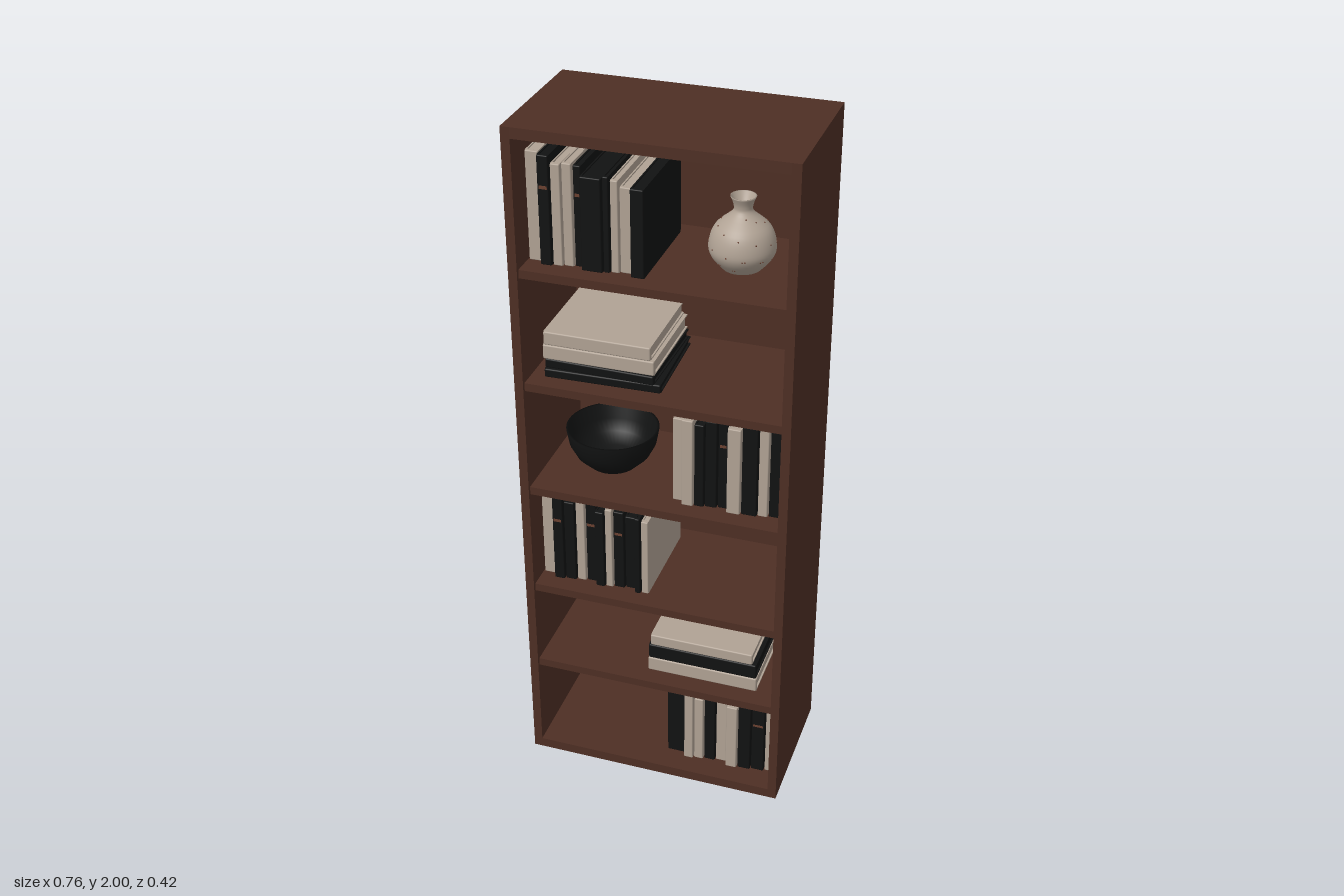
import * as THREE from 'three';
import { RoundedBoxGeometry } from 'three/addons/geometries/RoundedBoxGeometry.js';

const mat = (name, color) => {
  const m = new THREE.MeshStandardMaterial({ color });
  m.name = name;
  return m;
};

export function createModel() {
  const wood = mat('walnut', 0x4e2f24);
  const cream = mat('cream', 0xb0a294);
  const black = mat('black', 0x111212);
  const brown = mat('brown accent', 0x6a4030);
  const root = new THREE.Group();
  root.name = 'bookcase';

  const add = (parent, name, geometry, material, x = 0, y = 0, z = 0) => {
    const mesh = new THREE.Mesh(geometry, material);
    mesh.name = name;
    mesh.position.set(x, y, z);
    parent.add(mesh);
    return mesh;
  };
  // Box given by its extents on each axis
  const slab = (parent, name, material, [x0, x1], [y0, y1], [z0, z1]) =>
    add(parent, name, new THREE.BoxGeometry(x1 - x0, y1 - y0, z1 - z0), material,
      (x0 + x1) / 2, (y0 + y1) / 2, (z0 + z1) / 2);
  const group = (parent, name) => {
    const g = new THREE.Group();
    g.name = name;
    parent.add(g);
    return g;
  };

  // Carcass: sides, top, base, back and five shelves
  const L = -0.384, R = 0.379, T = 0.025;
  const inner = [L + T, R - T], depth = [-0.21, 0.21];
  const floors = [0.03, 0.335, 0.61, 0.943, 1.275, 1.61];
  const carcass = group(root, 'carcass');
  slab(carcass, 'rightSide', wood, [L, L + T], [0, 2], depth);
  slab(carcass, 'leftSide', wood, [R - T, R], [0, 2], depth);
  slab(carcass, 'topBoard', wood, inner, [1.97, 2], depth);
  slab(carcass, 'baseBoard', wood, inner, [0, 0.03], depth);
  slab(carcass, 'backPanel', wood, inner, [0.03, 1.97], [-0.21, -0.195]);
  floors.slice(1).forEach((y) => slab(carcass, 'shelf', wood, inner, [y - 0.024, y], [-0.195, 0.2]));

  // Upright book: two boards, a rounded spine facing front, and a page block
  const uprightBook = (parent, x0, w, floor, h, material, front, banded) => {
    const book = group(parent, 'uprightBook');
    const t = 0.004, x1 = x0 + w, top = floor + h, cy = floor + h / 2;
    slab(book, 'cover', material, [x0, x0 + t], [floor, top], [-0.15, front - 0.005]);
    slab(book, 'cover', material, [x1 - t, x1], [floor, top], [-0.15, front - 0.005]);
    add(book, 'spine', new RoundedBoxGeometry(w, h, 0.014, 2, 0.003), material, x0 + w / 2, cy, front - 0.007);
    slab(book, 'pages', material, [x0 + t, x1 - t], [floor + t, top - t], [-0.145, front - 0.01]);
    if (banded) slab(book, 'spineBand', brown, [x0 + t, x1 - t], [cy + h * 0.2, cy + h * 0.23], [front - 0.002, front + 0.001]);
  };

  // Row of books between two ends: tones (L light, D dark), relative widths,
  // and a height running from first to last with a small repeating variation
  const bookRow = (name, floor, x0, x1, first, last, tones, widths) => {
    const row = group(root, name);
    const gap = 0.003, n = widths.length;
    const unit = (x1 - x0 - gap * (n - 1)) / widths.reduce((a, b) => a + b);
    let x = x0;
    widths.forEach((width, i) => {
      const dark = tones[i] === 'D';
      const h = THREE.MathUtils.lerp(first, last, i / (n - 1)) + 0.008 * Math.sin(i * 2.2);
      uprightBook(row, x, width * unit, floor, h, dark ? black : cream,
        0.14 + 0.006 * ((i * 3) % 4 - 1), dark && i % 3 === 1);
      x += width * unit + gap;
    });
  };
  bookRow('bottomBooks', floors[0], 0.02, 0.344, 0.236, 0.236, 'DLLDLLDDL', [10, 5, 5, 6, 6, 6, 7, 7, 4]);
  bookRow('lowerBooks', floors[2], -0.355, -0.034, 0.278, 0.245, 'LDDLDDLDDDL', [7, 6, 6, 5, 6, 5, 4, 6, 6, 3, 4]);
  bookRow('middleBooks', floors[3], 0.036, 0.35, 0.26, 0.283, 'LLDDDLDLD', [5, 6, 5, 6, 5, 7, 8, 5, 8]);
  bookRow('topBooks', floors[5], -0.355, -0.035, 0.302, 0.236, 'LDLLDDDLLD', [7, 6, 5, 5, 4, 11, 3, 4, 6, 7]);

  // Lying book: boards above and below the pages, spine to the front
  const lyingBook = (parent, x0, x1, y0, y1, turn, material) => {
    const book = group(parent, 'lyingBook');
    book.position.set((x0 + x1) / 2, y0, 0);
    book.rotation.y = turn;
    const w = (x1 - x0) / 2, h = y1 - y0, t = 0.004;
    slab(book, 'lowerCover', material, [-w, w], [0, t], [-0.14, 0.14]);
    slab(book, 'upperCover', material, [-w, w], [h - t, h], [-0.14, 0.14]);
    add(book, 'spine', new RoundedBoxGeometry(w * 2, h, 0.016, 2, 0.004), material, 0, h / 2, 0.139);
    slab(book, 'pages', material, [-w + 0.005, w - 0.005], [t, h - t], [-0.135, 0.135]);
  };
  const lowerStack = group(root, 'lowerStack');
  lyingBook(lowerStack, -0.036, 0.292, 0.335, 0.38, 0, cream);
  lyingBook(lowerStack, -0.034, 0.29, 0.381, 0.428, 0, black);
  lyingBook(lowerStack, -0.028, 0.278, 0.429, 0.464, 0, cream);
  const upperStack = group(root, 'upperStack');
  lyingBook(upperStack, -0.325, 0, 1.275, 1.3, 0.03, black);
  lyingBook(upperStack, -0.318, -0.01, 1.301, 1.327, -0.02, black);
  lyingBook(upperStack, -0.325, -0.012, 1.328, 1.37, 0, cream);
  lyingBook(upperStack, -0.322, -0.022, 1.371, 1.41, 0, cream);

  const points = (pairs) => pairs.map(([r, y]) => new THREE.Vector2(r, y));

  // Open bowl with a thick wall: outer curve up, rim, inner curve down
  const bowlProfile = points([[0, 0], [0.07, 0], [0.105, 0.035], [0.123, 0.07], [0.131, 0.115],
    [0.124, 0.115], [0.115, 0.072], [0.097, 0.04], [0.066, 0.012], [0, 0.01]]);
  add(root, 'bowl', new THREE.LatheGeometry(bowlProfile, 48), black, -0.185, floors[3], 0);

  // Round vase with a narrow flared neck
  const vase = group(root, 'vase');
  vase.position.set(0.18, floors[5], 0);
  const belly = new THREE.SplineCurve(points([[0.052, 0], [0.08, 0.033], [0.088, 0.065], [0.073, 0.112],
    [0.03, 0.152], [0.025, 0.172], [0.034, 0.197]])).getPoints(30);
  const vaseProfile = [...points([[0, 0]]), ...belly, ...points([[0.031, 0.197], [0.02, 0.172], [0, 0.15]])];
  add(vase, 'vaseBody', new THREE.LatheGeometry(vaseProfile, 48), cream);

  // Small flecks spiralling round the vase on its own profile
  const fleck = new THREE.SphereGeometry(0.0022, 6, 4);
  for (let i = 0; i < 44; i++) {
    const a = i * 2.4, p = belly[3 + (i * 7) % 17];
    add(vase, 'fleck', fleck, brown, Math.sin(a) * p.x, p.y, Math.cos(a) * p.x);
  }
  return root;
}
